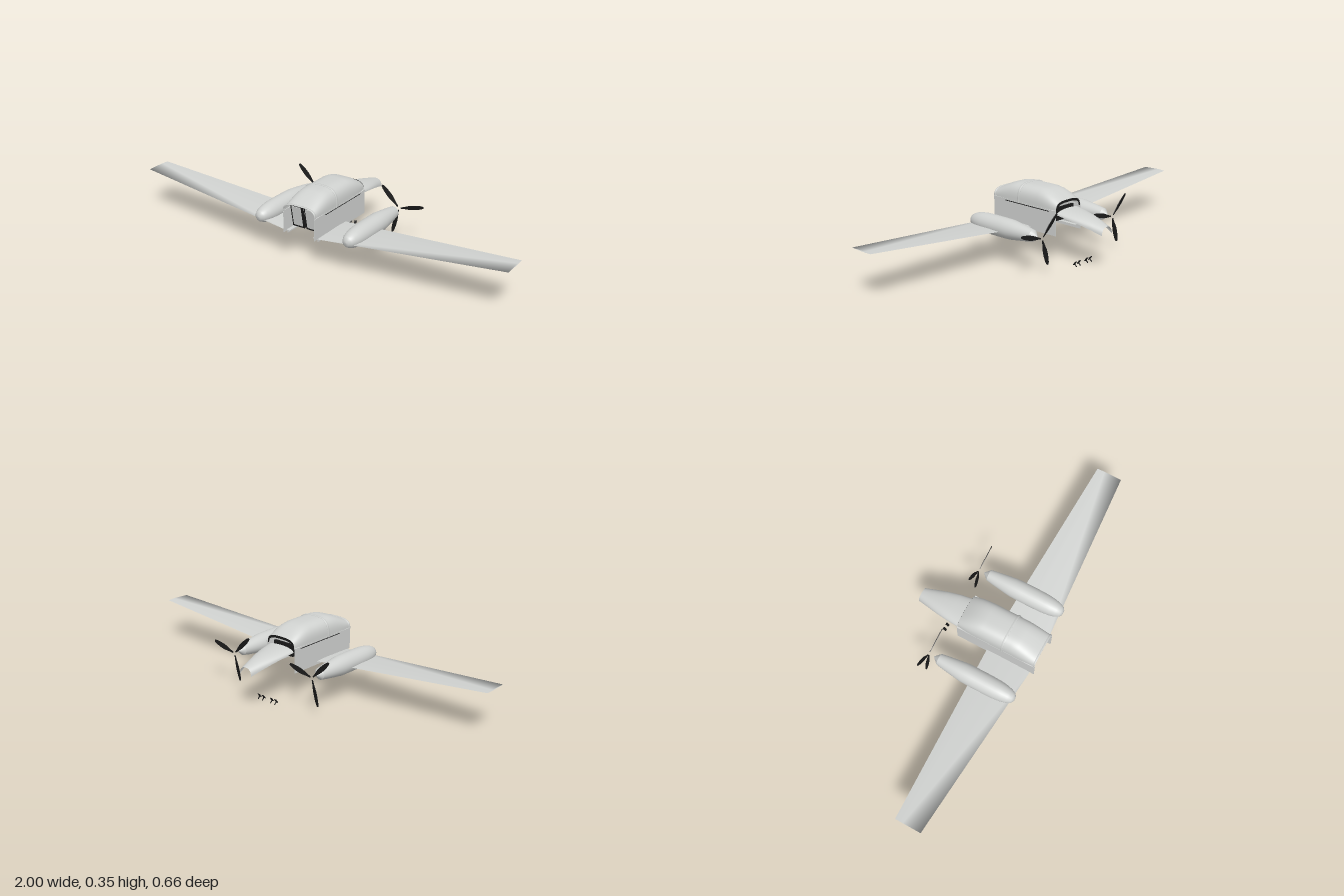
import * as THREE from 'three';

const skin = new THREE.MeshStandardMaterial({ color: 0xd0d2d0, side: THREE.DoubleSide });
skin.name = 'light grey skin';
const black = new THREE.MeshStandardMaterial({ color: 0x191919, side: THREE.DoubleSide });
black.name = 'black fittings';

function add(parent, name, geometry, material, x = 0, y = 0, z = 0) {
  const mesh = new THREE.Mesh(geometry, material);
  mesh.name = name;
  mesh.position.set(x, y, z);
  parent.add(mesh);
  return mesh;
}

// Open surface through a list of cross-sections with equal point counts
function loft(sections) {
  const n = sections[0].length, index = [];
  for (let i = 0; i < sections.length - 1; i++) {
    for (let j = 0; j < n - 1; j++) {
      const a = i * n + j, b = a + n;
      index.push(a, a + 1, b, b, a + 1, b + 1);
    }
  }
  const g = new THREE.BufferGeometry();
  g.setAttribute('position', new THREE.Float32BufferAttribute(sections.flat(2), 3));
  g.setIndex(index);
  g.computeVertexNormals();
  return g;
}

// Arch section: half width w, foot y0, crown y1; power < 1 squares the shoulders
function arch(z, w, y0, y1, power = 1, steps = 32) {
  return Array.from({ length: steps + 1 }, (_, i) => {
    const a = Math.PI * i / steps, c = Math.cos(a), s = Math.max(0, Math.sin(a));
    return [w * Math.sign(c) * Math.abs(c) ** power, y0 + (y1 - y0) * s ** power, z];
  });
}

const FOOT = 0.255;
const canopyArch = (z, w, top) => arch(z, w, FOOT, top, 0.65);

// Raised band following the canopy
function hoop(z, depth, w, top) {
  return loft([canopyArch(z - depth / 2, w - 0.004, top - 0.004), canopyArch(z - depth / 2, w, top),
    canopyArch(z + depth / 2, w, top), canopyArch(z + depth / 2, w - 0.004, top - 0.004)]);
}

function buildCabin(group) {
  // Canopy shell, open at both ends
  const stations = [[-0.086, 0.082, 0.298], [-0.06, 0.087, 0.314], [-0.03, 0.09, 0.329], [0, 0.091, 0.339],
    [0.035, 0.091, 0.345], [0.1, 0.091, 0.345], [0.19, 0.091, 0.345], [0.225, 0.091, 0.339],
    [0.265, 0.09, 0.325], [0.3, 0.088, 0.309], [0.325, 0.086, 0.298]];
  add(group, 'canopy', loft(stations.map((s) => canopyArch(...s))), skin);
  add(group, 'canopyBand', hoop(0.154, 0.011, 0.095, 0.348), skin);
  add(group, 'rearFrame', hoop(0.322, 0.009, 0.09, 0.302), skin);

  // Black windscreen rim
  add(group, 'windscreenRim', loft([canopyArch(-0.086, 0.083, 0.3), canopyArch(-0.087, 0.074, 0.288)]), black);

  // Side walls with a raised rear foot
  const wall = new THREE.Shape([[-0.328, FOOT], [-0.328, 0.15], [-0.3, 0.15], [-0.3, 0.136],
    [0.086, 0.136], [0.086, FOOT]].map((p) => new THREE.Vector2(...p)));
  const wallGeometry = new THREE.ExtrudeGeometry(wall, { depth: 0.003, bevelEnabled: false });
  wallGeometry.translate(0, 0, -0.0015).rotateY(Math.PI / 2);
  for (const side of [-1, 1]) {
    add(group, 'sideWall', wallGeometry, skin, side * 0.086);
    add(group, 'canopySill', new THREE.BoxGeometry(0.008, 0.006, 0.41), skin, side * 0.088, 0.257, 0.12);
    add(group, 'canopyRail', new THREE.BoxGeometry(0.003, 0.003, 0.29), black, side * 0.089, 0.251, 0.1);
    add(group, 'floorSill', new THREE.BoxGeometry(0.02, 0.004, 0.38), skin, side * 0.076, 0.155, 0.12);
  }
  add(group, 'instrumentPanel', new THREE.BoxGeometry(0.14, 0.05, 0.012), black, 0, 0.235, -0.05);
}

function buildSeat(name, x, z) {
  const seat = new THREE.Group();
  seat.name = name;
  seat.position.set(x, 0, z);
  add(seat, 'seatCushion', new THREE.BoxGeometry(0.062, 0.022, 0.075), black, 0, 0.18, -0.035);
  const back = new THREE.Group();
  back.name = 'seatBack';
  back.position.set(0, 0.17, 0);
  back.rotation.x = 0.18;
  add(back, 'backFrame', new THREE.BoxGeometry(0.066, 0.12, 0.01), black, 0, 0.06, 0);
  add(back, 'backPanel', new THREE.BoxGeometry(0.05, 0.1, 0.004), skin, 0, 0.06, 0.006);
  seat.add(back);
  return seat;
}

function buildWing(side) {
  // Thin tapered panel rising towards the tip
  const section = (x, y, front, rear) => {
    const mid = front + (rear - front) * 0.3;
    return [[x, y, front], [x, y + 0.003, mid], [x, y, rear], [x, y - 0.002, mid], [x, y, front]]
      .map(([a, b, c]) => [side * a, b, c]);
  };
  return loft([section(0.086, 0.152, 0.075, 0.308), section(1, 0.225, 0.112, 0.243)]);
}

function buildNacelle(x) {
  const g = new THREE.Group();
  g.name = 'engine';
  g.position.set(x, 0.178, 0);
  // Pod and spinner, turned about the fore-and-aft axis
  const turned = (points) => {
    const geometry = new THREE.LatheGeometry(points.map((p) => new THREE.Vector2(...p)), 28);
    return geometry.rotateX(-Math.PI / 2);
  };
  add(g, 'nacelle', turned([[0.028, 0.095], [0.034, 0.06], [0.041, 0.01], [0.0475, -0.04], [0.0485, -0.09],
    [0.0485, -0.16], [0.047, -0.215], [0.043, -0.25], [0.036, -0.28], [0.026, -0.301], [0.014, -0.31], [0, -0.312]]), skin);
  add(g, 'spinner', turned([[0, 0.124], [0.028, 0.095]]), skin);
  return g;
}

function buildPropeller(x) {
  const g = new THREE.Group();
  g.name = 'propeller';
  g.position.set(x, 0.175, -0.151);
  const shape = new THREE.Shape();
  shape.moveTo(0.01, -0.003);
  shape.bezierCurveTo(0.04, -0.005, 0.05, -0.012, 0.08, -0.012);
  shape.quadraticCurveTo(0.12, -0.011, 0.137, -0.004);
  shape.lineTo(0.137, 0.004);
  shape.quadraticCurveTo(0.12, 0.011, 0.08, 0.011);
  shape.bezierCurveTo(0.05, 0.011, 0.04, 0.005, 0.01, 0.003);
  const blade = new THREE.ExtrudeGeometry(shape, { depth: 0.003, bevelEnabled: false, curveSegments: 8 });
  blade.translate(0, 0, -0.0015).rotateX(0.25);
  for (let i = 0; i < 3; i++) {
    add(g, 'blade', blade, black).rotation.z = Math.PI / 12 + i * Math.PI * 2 / 3;
  }
  return g;
}

export function createModel() {
  const model = new THREE.Group();
  model.name = 'twinEngineAircraft';
  buildCabin(model);

  // Arched nose deck drooping forward
  const deck = [[-0.088, 0.08, 0.238, 0.26], [-0.15, 0.073, 0.227, 0.254], [-0.21, 0.063, 0.214, 0.245],
    [-0.27, 0.049, 0.197, 0.232], [-0.328, 0.035, 0.178, 0.215]];
  add(model, 'noseDeck', loft(deck.map((s) => arch(...s, 0.9, 20))), skin);

  for (const side of [-1, 1]) {
    add(model, side > 0 ? 'leftWing' : 'rightWing', buildWing(side), skin);
    model.add(buildNacelle(side * 0.246));
    model.add(buildPropeller(side * 0.245 - 0.002));
    model.add(buildSeat('frontSeat', side * 0.038, 0.08));
    model.add(buildSeat('rearSeat', side * 0.038, 0.27));
    // Rudder pedals
    for (const x of [0.026, 0.053]) {
      const pedal = new THREE.Group();
      pedal.name = 'rudderPedal';
      pedal.position.set(side * x, 0.014, -0.18);
      add(pedal, 'pedalPlate', new THREE.BoxGeometry(0.012, 0.022, 0.003), black, 0, 0.003, 0).rotation.x = -0.65;
      add(pedal, 'pedalArm', new THREE.BoxGeometry(0.004, 0.003, 0.016), black, 0, -0.007, -0.005).rotation.x = -0.75;
      model.add(pedal);
    }
  }
  return model;
}
